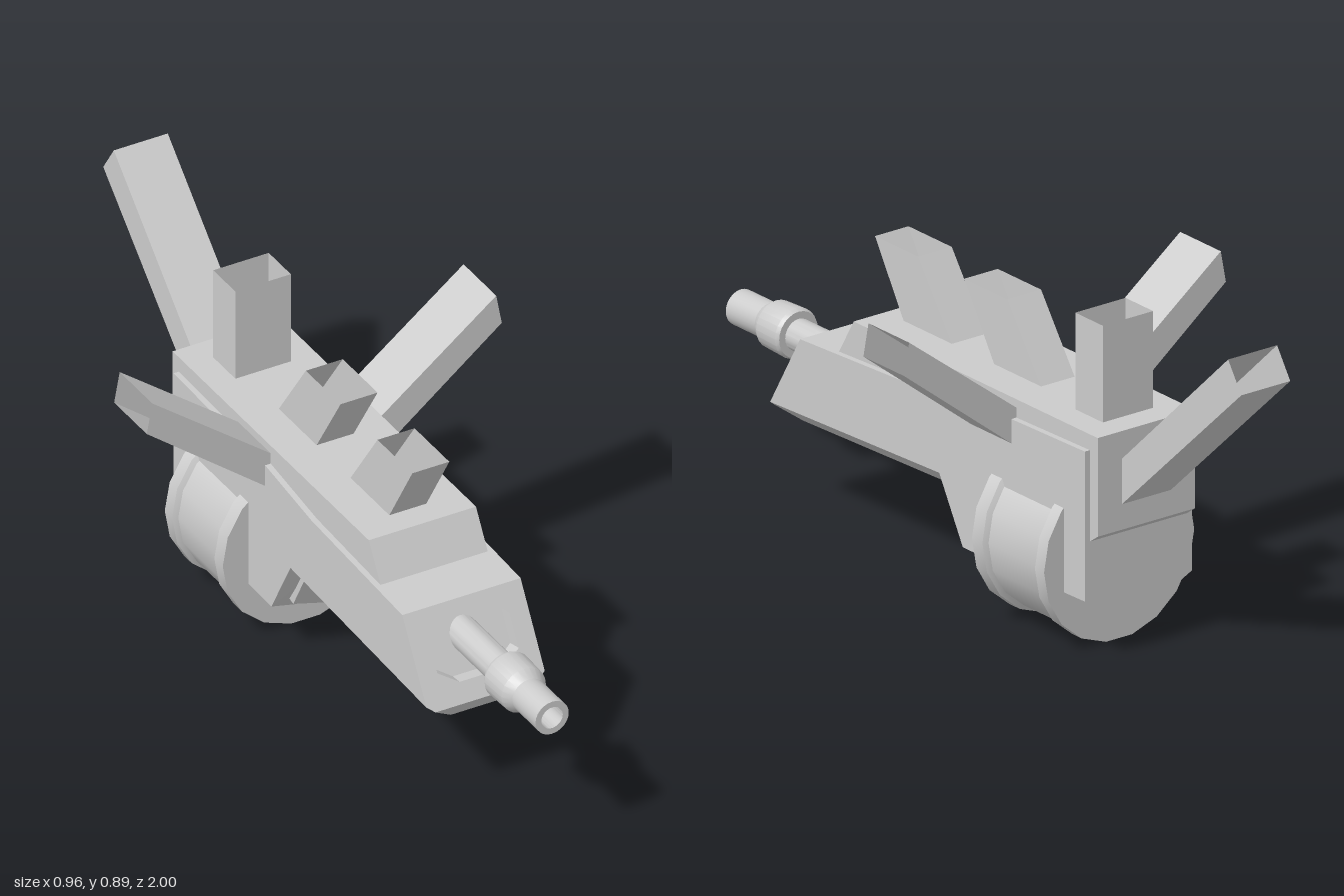
import * as THREE from 'three';
import { toCreasedNormals } from 'three/addons/utils/BufferGeometryUtils.js';

const solid = new THREE.MeshStandardMaterial({ color: 0xcccccc });
const open = new THREE.MeshStandardMaterial({ color: 0xcccccc, side: THREE.DoubleSide });

// Skin a row of rings running front to back, with optional end caps.
function loft(rings, capFront = true, capBack = true) {
  const v = [];
  const tri = (...pts) => pts.forEach((p) => v.push(...p));
  const n = rings[0].length;
  for (let i = 0; i < rings.length - 1; i++) {
    for (let j = 0; j < n; j++) {
      const k = (j + 1) % n;
      const [a, b, c, d] = [rings[i][j], rings[i][k], rings[i + 1][k], rings[i + 1][j]];
      tri(a, b, d);
      tri(b, c, d);
    }
  }
  const first = rings[0], last = rings[rings.length - 1];
  for (let j = 1; j < n - 1; j++) {
    if (capFront) tri(first[0], first[j + 1], first[j]);
    if (capBack) tri(last[0], last[j], last[j + 1]);
  }
  const g = new THREE.BufferGeometry();
  g.setAttribute('position', new THREE.Float32BufferAttribute(v, 3));
  g.computeVertexNormals();
  return g;
}

// Complete a +x half ring with its mirror image.
const mirror = (half) => [
  ...half,
  ...half.filter((p) => p[0] > 0).reverse().map(([x, y, z]) => [-x, y, z]),
];

// Flat x-y outline laid onto a sloping plane z = slope(y).
function slopedFace(points, slope, hole) {
  const shape = new THREE.Shape(points.map((p) => new THREE.Vector2(p[0], p[1])));
  if (hole) shape.holes.push(new THREE.Path(hole.map((p) => new THREE.Vector2(p[0], p[1]))));
  const g = new THREE.ShapeGeometry(shape);
  const pos = g.attributes.position;
  for (let i = 0; i < pos.count; i++) pos.setZ(i, slope(pos.getY(i)));
  g.computeVertexNormals();
  return g;
}

// Round part turned about the z axis; profile is [radius, z].
function turned(profile, sides, start = 0) {
  const pts = profile.map(([r, z]) => new THREE.Vector2(r, z));
  const g = new THREE.LatheGeometry(pts, sides, start).rotateX(Math.PI / 2);
  return toCreasedNormals(g, 0.5);
}

// Open square tube across x, between two edges given as [y, z] pairs.
function tube(w, [p, q], [r, s]) {
  const ring = (a, b) => [[w, ...a], [w, ...b], [-w, ...b], [-w, ...a]];
  return loft([ring(p, q), ring(r, s)], false, false);
}

export function createModel() {
  const model = new THREE.Group();
  const add = (name, geometry, material = solid) => {
    const mesh = new THREE.Mesh(geometry, material);
    mesh.name = name;
    model.add(mesh);
    return mesh;
  };

  // Fore-end with chamfered underside and sloping nose
  const slope = (y) => 0.69 - (y - 0.275) * 0.585;
  const nose = mirror([[0.16, 0.48], [0.16, 0.285], [0.14, 0.27], [0.08, 0.225]]
    .map(([x, y]) => [x, y, y < 0.25 ? 0.66 : slope(y)]));
  add('foreEnd', loft([
    nose,
    mirror([[0.16, 0.5, 0.14], [0.16, 0.31, 0.04], [0.14, 0.295, 0.045], [0.08, 0.245, 0.07]]),
  ], false, true));

  // Nose face with an eight-sided pocket around the barrel
  const octagon = mirror([[0.06, 0.46], [0.11, 0.42], [0.11, 0.345], [0.06, 0.315]]);
  const face = nose.filter((p) => p[1] > 0.25);
  add('noseFace', slopedFace(face, slope, octagon));
  add('noseUnderside', slopedFace(nose.filter((p) => p[1] < 0.28),
    (y) => 0.66 + (y - 0.225) * (slope(0.27) - 0.66) / 0.045));
  const pocket = [...octagon].reverse();
  add('nosePocket', loft([
    pocket.map(([x, y]) => [x, y, slope(y)]),
    pocket.map(([x, y]) => [x * 0.97, y - 0.005, slope(y) - 0.035]),
  ], false, true), open);

  // Receiver with a shallow V-shaped keel
  add('receiver', loft([
    [[0.16, 0.5, 0.14], [0.16, 0.31, 0.04], [0.16, 0.15, -0.05], [0.08, 0.11, -0.085], [0, 0.09, -0.1]],
    [[0.16, 0.53, -0.08], [0.16, 0.31, -0.08], [0.16, 0.15, -0.1], [0.08, 0.11, -0.11], [0, 0.09, -0.12]],
    [[0.16, 0.54, -0.515], [0.16, 0.31, -0.515], [0.16, 0.16, -0.515], [0.08, 0.12, -0.515], [0, 0.1, -0.515]],
  ].map(mirror)));

  // Raised panel on the sloping front of the receiver
  const panel = mirror([[0.11, 0.285], [0.11, 0.15], [0, 0.105]]);
  const panelZ = (y) => 0.04 - (0.285 - y) * 0.55;
  add('frontPanel', loft([
    panel.map(([x, y]) => [x, y, panelZ(y)]),
    panel.map(([x, y]) => [x, y + 0.01, panelZ(y) - 0.04]),
  ]));

  // Top cover that folds down over the back
  const cover = new THREE.Shape([
    [0.45, 0.47], [0.385, 0.58], [-0.545, 0.58], [-0.545, 0.33], [-0.51, 0.305], [-0.5, 0.47],
  ].map(([z, y]) => new THREE.Vector2(-z, y)));
  add('topCover', new THREE.ExtrudeGeometry(cover, { depth: 0.29, bevelEnabled: false })
    .translate(0, 0, -0.145).rotateY(Math.PI / 2));

  // Flanged drum, lying along the body
  const drum = add('drum', turned([
    [0, -0.435], [0.224, -0.435], [0.224, -0.4], [0.212, -0.392],
    [0.212, -0.208], [0.224, -0.2], [0.224, -0.16], [0, -0.16],
  ], 18, Math.PI / 18));
  drum.position.set(-0.005, 0.222, 0);

  // Barrel with collar, muzzle and bore
  const barrel = add('barrel', turned([
    [0.04, 0.56], [0.04, 0.78], [0.058, 0.78], [0.063, 0.79], [0.06, 0.865],
    [0.045, 0.89], [0.045, 1], [0.029, 1], [0.029, 0.92], [0, 0.92],
  ], 24), open);
  barrel.position.y = 0.385;

  // Open tubes along the top and back
  add('frontTopTube', tube(0.05, [[0.57, 0.31], [0.57, 0.125]], [[0.76, 0.425], [0.76, 0.26]]), open);
  add('middleTopTube', tube(0.05, [[0.57, -0.035], [0.57, -0.215]], [[0.76, 0.085], [0.76, -0.08]]), open);
  add('rearTopTube', tube(0.075, [[0.57, -0.37], [0.57, -0.475]], [[0.825, -0.37], [0.825, -0.475]]), open);
  add('backTube', tube(0.073, [[0.505, -0.54], [0.39, -0.54]], [[0.89, -0.95], [0.815, -1]]), open);

  // Open tubes rising from both sides
  for (const s of [1, -1]) {
    const ring = ([x0, y0], [x1, y1]) => [
      [s * x0, y0, -0.08], [s * x0, y0, -0.235], [s * x1, y1, -0.235], [s * x1, y1, -0.08],
    ];
    add(s > 0 ? 'leftSideTube' : 'rightSideTube', loft([
      ring([0.14, 0.555], [0.16, 0.472]), ring([0.465, 0.803], [0.48, 0.722]),
    ], false, false), open);
  }
  return model;
}
